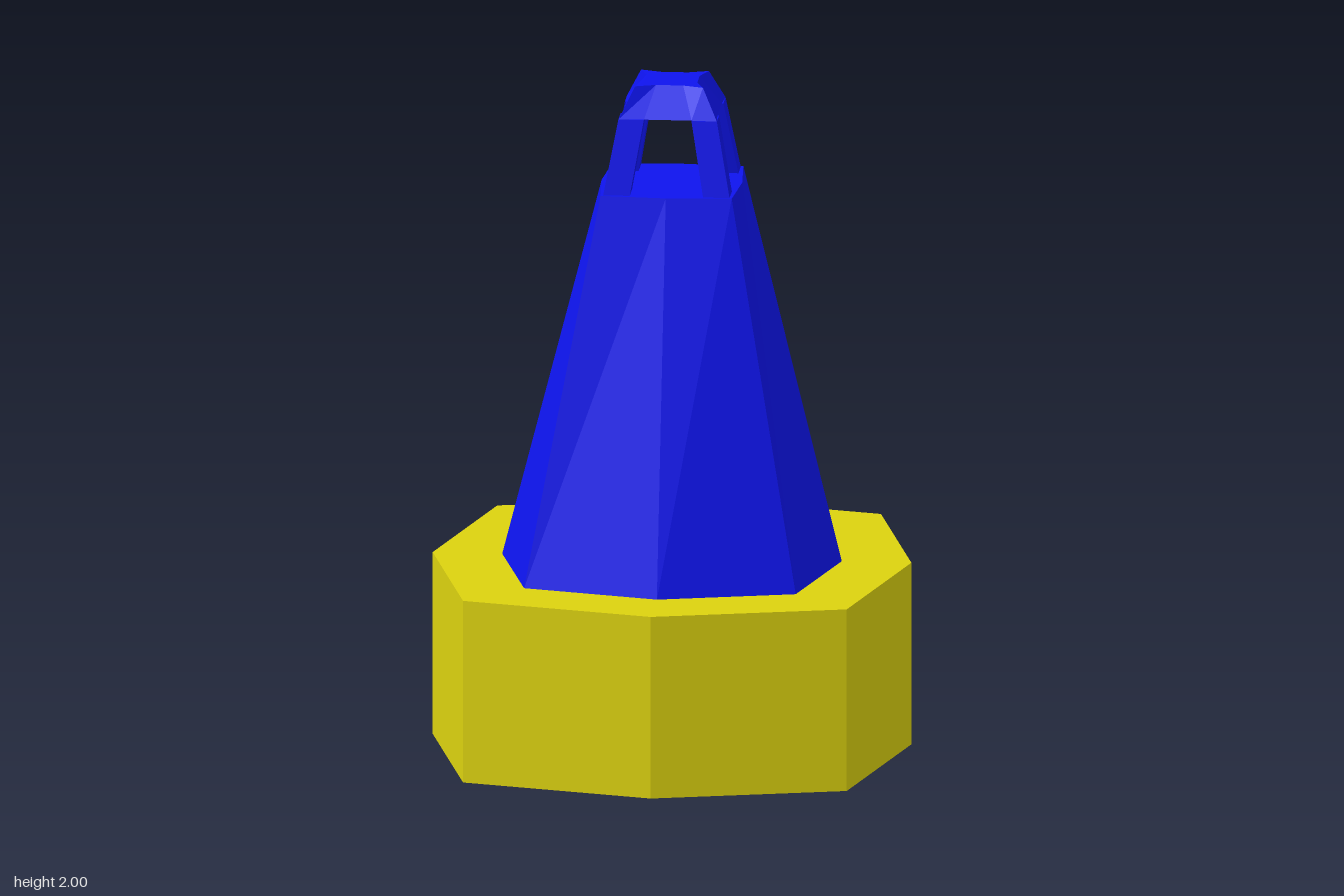
import * as THREE from 'three';

const blue = new THREE.MeshStandardMaterial({ color: 0x0e14ee, flatShading: true });
const yellow = new THREE.MeshStandardMaterial({ color: 0xdcd20f, flatShading: true });

// Closed solid between rings of [x, z] points stacked at given heights
function loft(rings, heights) {
  const pos = [];
  const n = rings[0].length;
  const at = (r, i) => [rings[r][i % n][0], heights[r], rings[r][i % n][1]];
  const centre = (r) => {
    const sum = rings[r].reduce((s, p) => [s[0] + p[0] / n, s[1] + p[1] / n], [0, 0]);
    return [sum[0], heights[r], sum[1]];
  };
  const last = rings.length - 1;
  for (let i = 0; i < n; i++) {
    for (let r = 0; r < last; r++) {
      pos.push(...at(r, i), ...at(r, i + 1), ...at(r + 1, i + 1));
      pos.push(...at(r, i), ...at(r + 1, i + 1), ...at(r + 1, i));
    }
    pos.push(...centre(0), ...at(0, i + 1), ...at(0, i));
    pos.push(...centre(last), ...at(last, i), ...at(last, i + 1));
  }
  const g = new THREE.BufferGeometry();
  g.setAttribute('position', new THREE.Float32BufferAttribute(pos, 3));
  g.computeVertexNormals();
  return g;
}

// Four-fold ring: repeats the [x, z] points of the front side around the axis
function fourFold(side) {
  const ring = [];
  let pts = side;
  for (let k = 0; k < 4; k++) {
    ring.push(...pts);
    pts = pts.map(([x, z]) => [z, -x]);
  }
  return ring;
}

// Square with its side midpoints pushed out
const bulged = (corner, mid) => fourFold([[-corner, corner], [0, mid]]);
// Square with flat-bottomed, dished sides
const dished = (corner, mid, half) => fourFold([[-corner, corner], [-half, mid], [half, mid]]);
// Square section of a corner post
const postSection = (i, o) => [[i, i], [i, o], [o, o], [o, i]];

function add(parent, name, geometry, material) {
  const mesh = new THREE.Mesh(geometry, material);
  mesh.name = name;
  parent.add(mesh);
  return mesh;
}

export function createModel() {
  const model = new THREE.Group();
  model.name = 'buoy';

  // Float and tapered tower
  add(model, 'floatBase', loft([bulged(0.565, 0.705), bulged(0.565, 0.705)], [0, 0.55]), yellow);
  add(model, 'tower', loft([bulged(0.4, 0.5), bulged(0.193, 0.207)], [0.55, 1.69]), blue);

  // Open cage: four leaning posts under a bevelled cap
  const cage = new THREE.Group();
  cage.name = 'topCage';
  const post = loft([postSection(0.108, 0.186), postSection(0.07, 0.145)], [1.69, 1.91]);
  for (let k = 0; k < 4; k++) {
    add(cage, 'cagePost', post, blue).rotation.y = (k * Math.PI) / 2;
  }
  add(cage, 'cageCap', loft([dished(0.145, 0.14, 0.07), dished(0.1, 0.078, 0.04)], [1.91, 2]), blue);
  model.add(cage);

  return model;
}
